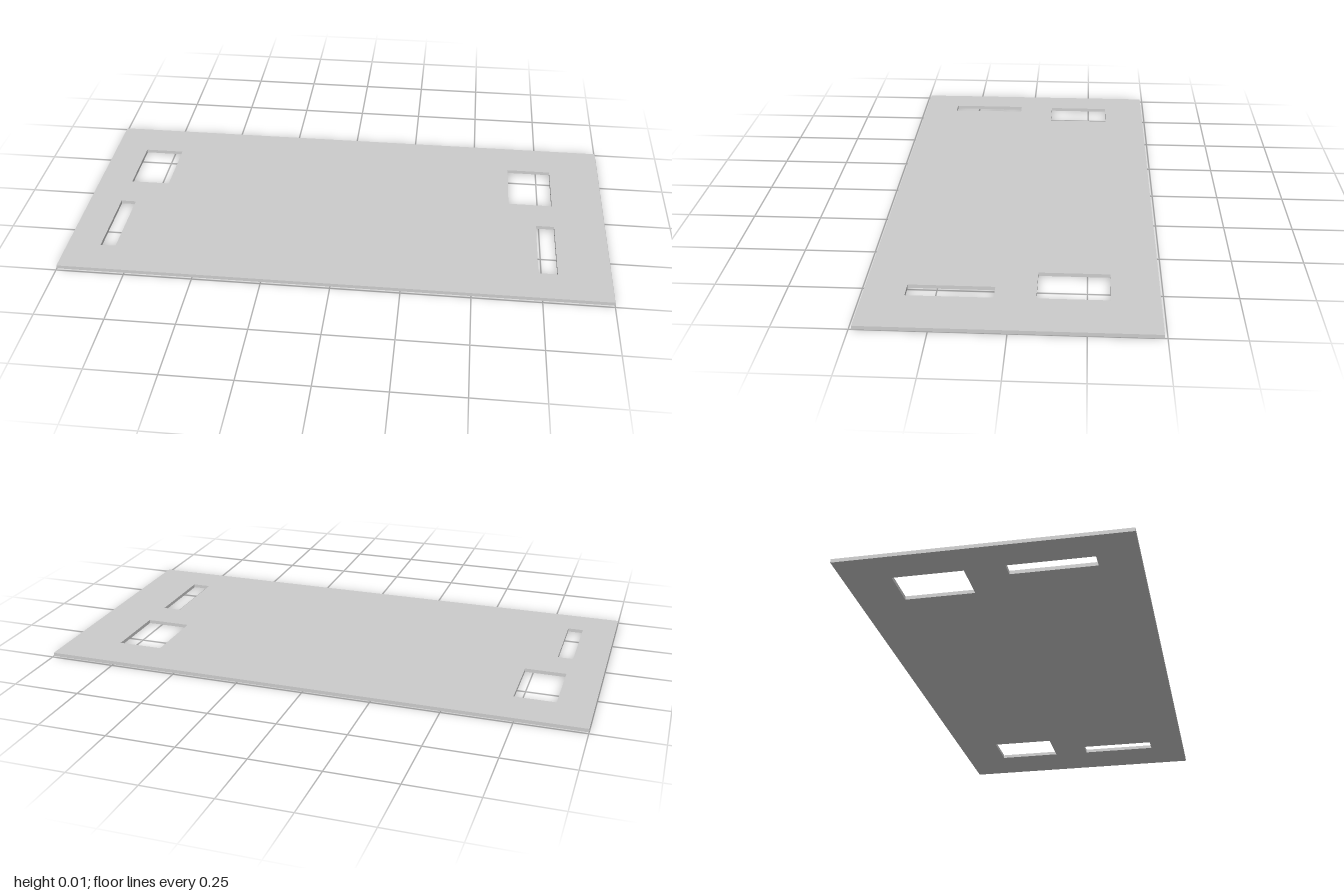
import * as THREE from 'three';

const THICKNESS = 0.013;

// Rectangle from (x0, z0) to (x1, z1), drawn in the shape plane where y = -z
function trace(path, x0, x1, z0, z1) {
  path.moveTo(x0, -z1);
  path.lineTo(x1, -z1);
  path.lineTo(x1, -z0);
  path.lineTo(x0, -z0);
  path.closePath();
  return path;
}

export function createModel() {
  const group = new THREE.Group();
  group.name = 'slottedPlate';

  // Plate outline
  const outline = trace(new THREE.Shape(), -1, 1, -0.49, 0.49);

  // Openings: two wide windows at the back, two narrow slots at the front
  const openings = [
    [-0.87, -0.72, -0.327, -0.083],
    [0.637, 0.805, -0.327, -0.083],
    [-0.876, -0.819, 0.056, 0.35],
    [0.739, 0.808, 0.056, 0.35],
  ];
  for (const o of openings) outline.holes.push(trace(new THREE.Path(), ...o));

  // Extrude upward and lay flat
  const geometry = new THREE.ExtrudeGeometry(outline, { depth: THICKNESS, bevelEnabled: false });
  geometry.rotateX(-Math.PI / 2);

  const plate = new THREE.Mesh(geometry, new THREE.MeshStandardMaterial({ color: 0xcccccc }));
  plate.name = 'plate';
  group.add(plate);
  return group;
}
